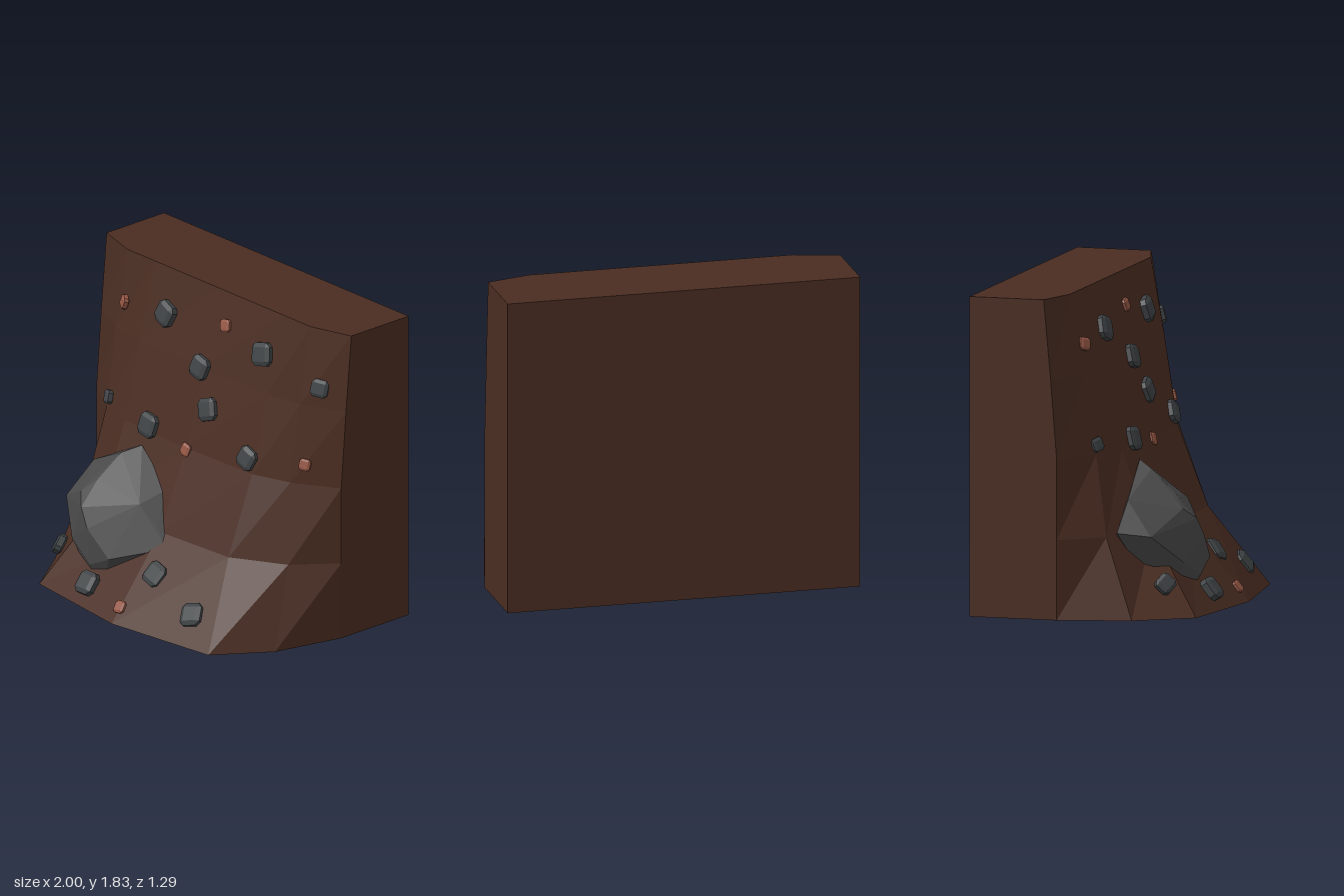
import * as THREE from 'three';
import { ConvexGeometry } from 'three/addons/geometries/ConvexGeometry.js';

const mat = (color) => new THREE.MeshStandardMaterial({ color, flatShading: true, side: THREE.DoubleSide });
const earth = mat(0x4a2d22), boulderGrey = mat(0x4a4a4a), stoneGrey = mat(0x3f4345), clay = mat(0x955745);

// Each row: height, then x and z of the outer and inner columns, middle z, and edge z
const ROWS = [
  { y: 0.055, outer: [0.9, 0.25], inner: [0.69, 0.555], mid: 0.645, edge: -0.15 },
  { y: 0.5, outer: [0.82, 0.08], inner: [0.52, 0.25], mid: 0.285, edge: -0.15 },
  { y: 0.945, outer: [0.75, 0.0], inner: [0.52, 0.075], mid: 0.09, edge: -0.15 },
  { y: 1.39, outer: [0.75, -0.07], inner: [0.52, -0.035], mid: -0.03, edge: -0.185 },
  { y: 1.83, outer: [0.75, -0.15], inner: [0.52, -0.15], mid: -0.15, edge: -0.225 },
];

// Cliff block: stacked outlines stitched together, capped top and bottom
function cliffGeometry() {
  const loops = ROWS.map(({ y, outer, inner, mid, edge }) => [
    [-1, edge], [-outer[0], outer[1]], [-inner[0], inner[1]], [0, mid],
    inner, outer, [1, edge], [1, -0.65], [-1, -0.65],
  ].map(([x, z]) => [x, y, z]));
  const pos = [];
  const tri = (...corners) => corners.forEach((c) => pos.push(...c));
  const n = loops[0].length;
  for (let j = 0; j < loops.length - 1; j++) {
    for (let i = 0; i < n; i++) {
      const k = (i + 1) % n, lo = loops[j], hi = loops[j + 1];
      tri(lo[i], lo[k], hi[k]);
      tri(lo[i], hi[k], hi[i]);
    }
  }
  const bottom = loops[0], top = loops[loops.length - 1];
  for (let i = 1; i < n - 1; i++) {
    tri(top[0], top[i], top[i + 1]);
    tri(bottom[0], bottom[i + 1], bottom[i]);
  }
  const g = new THREE.BufferGeometry();
  g.setAttribute('position', new THREE.Float32BufferAttribute(pos, 3));
  g.computeVertexNormals();
  return g;
}

// Faceted boulder with a point poking out below the cliff
function boulderGeometry() {
  const points = [
    [-0.79, 0.52, 0.13], [-0.74, 0.5, 0.31], [-0.68, 0.69, 0.16], [-0.33, 0.87, 0.12],
    [-0.4, 0.83, 0.21], [-0.07, 0.7, 0.17], [0.08, 0.43, 0.31], [-0.01, 0.54, 0.3],
    [-0.12, 0.64, 0.33], [-0.43, 0.7, 0.36], [-0.5, 0.63, 0.42], [-0.43, 0.57, 0.48],
    [-0.36, 0.47, 0.5], [-0.2, 0.33, 0.485], [-0.36, 0.25, 0.48], [-0.55, 0.34, 0.44],
    [-0.39, 0.005, 0.36], [-0.4, 0.4, 0.0], [-0.2, 0.16, 0.28], [-0.55, 0.16, 0.28],
  ];
  return new ConvexGeometry(points.map((p) => new THREE.Vector3(...p)));
}

// Pebble: a cube with its edges and corners cut off
function pebbleGeometry() {
  const pts = [], a = 0.5, b = 0.31;
  for (const sx of [-1, 1]) for (const sy of [-1, 1]) for (const sz of [-1, 1]) {
    for (const [x, y, z] of [[a, b, b], [b, a, b], [b, b, a]]) {
      pts.push(new THREE.Vector3(x * sx, y * sy, z * sz));
    }
  }
  return new ConvexGeometry(pts);
}

// Pebble places: x, y, z, width
const STONES = [
  [-0.35, 1.59, -0.08, 0.13], [0.44, 1.59, -0.08, 0.13], [0.85, 1.5, -0.13, 0.1],
  [-0.01, 1.39, -0.025, 0.125], [0.11, 1.19, 0.025, 0.125], [-0.735, 1.0, 0.0, 0.075],
  [-0.32, 0.98, 0.075, 0.13], [0.47, 1.02, 0.06, 0.12], [-0.71, 0.24, 0.385, 0.1],
  [-0.32, 0.165, 0.53, 0.13], [0.11, 0.315, 0.415, 0.13], [0.47, 0.2, 0.47, 0.13],
];
const CLAY_BITS = [
  [-0.7, 1.55, -0.085, 0.07], [0.115, 1.655, -0.1, 0.07], [0.82, 1.06, -0.045, 0.065],
  [0, 0.935, 0.09, 0.07], [0.78, 0.25, 0.235, 0.065], [0, 0.135, 0.58, 0.07],
];

export function createModel() {
  const group = new THREE.Group();
  const add = (name, geometry, material) => {
    const mesh = new THREE.Mesh(geometry, material);
    mesh.name = name;
    group.add(mesh);
    return mesh;
  };
  add('cliff', cliffGeometry(), earth);
  add('boulder', boulderGeometry(), boulderGrey);

  // Pebbles lie flat against the sloping face
  const pebble = pebbleGeometry();
  const scatter = (name, places, material) => places.forEach(([x, y, z, size], i) => {
    const m = add(name + (i + 1), pebble, material);
    m.position.set(x, y, z);
    m.scale.set(size, size, size * 0.55);
    const tilt = y < 0.5 ? -0.65 : -0.27;
    const yaw = Math.abs(x) > 0.69 ? Math.sign(x) * (y < 0.5 ? 0.8 : 0.5) : x * 0.15;
    m.rotation.set(tilt, yaw, ((i * 5) % 7 - 3) * 0.12);
  });
  scatter('stone', STONES, stoneGrey);
  scatter('clayBit', CLAY_BITS, clay);
  return group;
}
